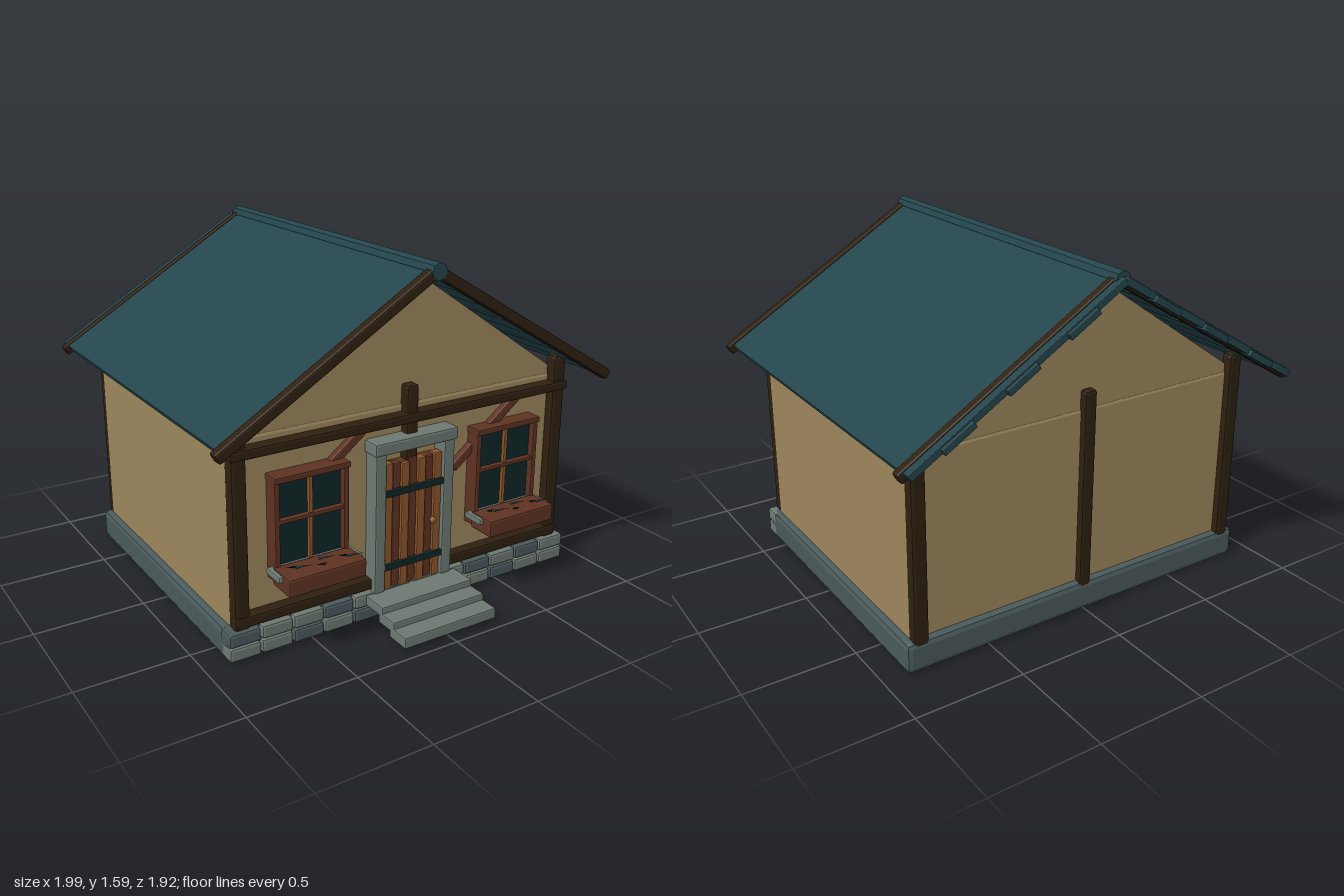
import * as THREE from 'three';
import { RoundedBoxGeometry } from 'three/addons/geometries/RoundedBoxGeometry.js';

const paint = (name, color) => {
  const m = new THREE.MeshStandardMaterial({ color });
  m.name = name;
  return m;
};

export function createModel() {
  const plaster = paint('plaster', 0x9c855c);
  const tile = paint('roofTeal', 0x24454c);
  const timber = paint('darkTimber', 0x2e2010);
  const redWood = paint('redWood', 0x5e3222);
  const oak = paint('oak', 0x8a5428);
  const stone = paint('paleStone', 0x6d7871);
  const slate = paint('darkStone', 0x4a595b);
  const iron = paint('ironAndGlass', 0x0e2626);
  const leaf = paint('leaf', 0x33505a);

  const house = new THREE.Group();
  house.name = 'cottage';

  const add = (name, geo, mat, x, y, z, parent = house) => {
    const mesh = new THREE.Mesh(geo, mat);
    mesh.name = name;
    mesh.position.set(x, y, z);
    parent.add(mesh);
    return mesh;
  };
  // Box given by its limits, with flat chamfered edges
  const block = (name, mat, [x0, x1], [y0, y1], [z0, z1], bevel = 0.01, parent = house) => {
    const geo = new RoundedBoxGeometry(x1 - x0, y1 - y0, z1 - z0, 1, bevel);
    geo.computeVertexNormals();
    return add(name, geo, mat, (x0 + x1) / 2, (y0 + y1) / 2, (z0 + z1) / 2, parent);
  };

  // Foundation with two courses of facing stones
  block('foundation', slate, [-0.895, 0.895], [0, 0.14], [-0.76, 0.64], 0.025);
  const pitch = 1.8 / 12;
  for (let row = 0; row < 2; row++) {
    for (let i = 0; i < 12; i++) {
      const x = -0.9 + i * pitch;
      const y = 0.012 + row * 0.065;
      const mat = (i * 2 + row * 3) % 5 < 3 ? stone : slate;
      block('facingStone', mat, [x + 0.003, x + pitch - 0.003], [y, y + 0.061], [0.58, 0.668], 0.012);
    }
  }

  // Front steps
  block('lowerStep', stone, [-0.24, 0.24], [0.02, 0.07], [0.845, 0.96], 0.006);
  block('middleStep', stone, [-0.24, 0.24], [0.05, 0.1], [0.76, 0.875], 0.006);
  block('upperStep', stone, [-0.24, 0.24], [0.085, 0.13], [0.645, 0.79], 0.006);

  // Walls and gables
  block('walls', plaster, [-0.86, 0.86], [0.12, 0.955], [-0.725, 0.605], 0.015);
  const gable = new THREE.Shape([
    new THREE.Vector2(-0.85, 0.95), new THREE.Vector2(0.85, 0.95), new THREE.Vector2(0, 1.53),
  ]);
  const gableGeo = new THREE.ExtrudeGeometry(gable, { depth: 0.05, bevelEnabled: false });
  add('frontGable', gableGeo, plaster, 0, 0, 0.55);
  add('backGable', gableGeo, plaster, 0, 0, -0.72);

  // Timber frame
  for (const side of [-1, 1]) {
    const xs = side < 0 ? [-0.86, -0.79] : [0.79, 0.86];
    block('frontPost', timber, xs, [0.13, 1.04], [0.585, 0.648], 0.014);
    block('backPost', timber, xs, [0.08, 1.04], [-0.757, -0.7], 0.014);
  }
  block('frontCentrePost', timber, [-0.03, 0.03], [0.14, 1.04], [0.58, 0.648], 0.012);
  block('backCentrePost', timber, [-0.03, 0.03], [0.08, 1.04], [-0.757, -0.7], 0.012);
  block('lowerBeam', timber, [-0.86, 0.86], [0.145, 0.195], [0.59, 0.655], 0.01);
  block('upperBeam', timber, [-0.865, 0.865], [0.875, 0.92], [0.59, 0.66], 0.01);
  for (const x of [-0.415, 0.415]) {
    const brace = block('brace', redWood, [-0.225, 0.225], [-0.02, 0.02], [-0.02, 0.02], 0.007);
    brace.position.set(x, 0.745, 0.617);
    brace.rotation.z = 0.66;
  }

  // Roof slopes, tile strips and barge boards
  const pitchAngle = Math.atan(0.597);
  for (const side of [-1, 1]) {
    const slope = new THREE.Group();
    slope.name = side < 0 ? 'rightRoofSlope' : 'leftRoofSlope';
    slope.position.set(0, 1.55, 0);
    slope.rotation.z = -side * pitchAngle;
    house.add(slope);
    const span = (a, b) => (side > 0 ? [a, b] : [-b, -a]);
    block('roofPanel', tile, span(0, 1.122), [-0.016, 0.016], [-0.945, 0.745], 0.003, slope);
    for (const x of [0.245, 0.565, 0.89]) {
      block('tileStrip', tile, span(x - 0.08, x + 0.08), [-0.022, 0.008], [-0.96, 0.755], 0.004, slope);
    }
    block('frontBarge', timber, span(0, 1.148), [-0.026, 0.022], [0.747, 0.798], 0.01, slope);
    block('backBarge', timber, span(0, 1.148), [-0.026, 0.022], [-0.912, -0.866], 0.01, slope);
  }
  const ridgeGeo = new THREE.CylinderGeometry(0.037, 0.037, 1.72, 8).toNonIndexed();
  ridgeGeo.computeVertexNormals();
  ridgeGeo.rotateX(Math.PI / 2);
  add('ridgeCap', ridgeGeo, tile, 0, 1.548, -0.06);

  // Door with planks, straps, knob and stone surround
  const door = new THREE.Group();
  door.name = 'door';
  house.add(door);
  block('doorBacking', redWood, [-0.15, 0.15], [0.13, 0.71], [0.6, 0.65], 0.004, door);
  const planks = 7;
  for (let i = 0; i < planks; i++) {
    const w = 0.3 / planks;
    const x = -0.15 + i * w;
    block('plank', i % 2 ? redWood : oak, [x + 0.002, x + w - 0.002],
      [0.13, 0.72 - (i % 3) * 0.006], [0.62, i % 2 ? 0.66 : 0.666], 0.005, door);
  }
  for (const y of [0.24, 0.585]) {
    block('doorStrap', iron, [-0.155, 0.155], [y - 0.015, y + 0.015], [0.65, 0.677], 0.004, door);
  }
  add('doorKnob', new THREE.SphereGeometry(0.016, 10, 8), oak, 0.1, 0.41, 0.675, door);
  for (const x of [-0.178, 0.178]) {
    block('doorJamb', stone, [x - 0.027, x + 0.027], [0.13, 0.78], [0.59, 0.68], 0.008, door);
  }
  block('doorLintel', stone, [-0.215, 0.215], [0.77, 0.828], [0.59, 0.69], 0.01, door);

  // Windows with planter boxes
  for (const x of [-0.51, 0.51]) {
    const win = new THREE.Group();
    win.name = 'window';
    win.position.x = x;
    house.add(win);
    block('glass', iron, [-0.165, 0.165], [0.34, 0.77], [0.6, 0.645], 0.004, win);
    for (const s of [-0.163, 0.163]) {
      block('sideFrame', redWood, [s - 0.012, s + 0.012], [0.32, 0.775], [0.6, 0.675], 0.005, win);
    }
    block('topFrame', redWood, [-0.178, 0.178], [0.755, 0.782], [0.6, 0.683], 0.005, win);
    block('crossBar', redWood, [-0.165, 0.165], [0.573, 0.59], [0.62, 0.67], 0.004, win);
    block('mullion', oak, [-0.009, 0.009], [0.36, 0.765], [0.62, 0.662], 0.004, win);
    block('planter', redWood, [-0.183, 0.183], [0.312, 0.392], [0.66, 0.8], 0.01, win);
    block('planterRail', stone, [-0.2, 0.2], [0.355, 0.385], [0.635, 0.745], 0.008, win);
    // Sprigs of flat leaves
    for (let i = 0; i < 6; i++) {
      const geo = new THREE.ConeGeometry(0.014, 0.075, 4);
      geo.scale(1, 1, 0.35);
      const sprig = add('sprig', geo, i % 2 ? leaf : iron, -0.14 + i * 0.058, 0.41, 0.73 + (i % 3) * 0.02, win);
      sprig.rotation.set(i % 2 ? 1.2 : 0.9, 0, i % 2 ? -0.9 : 0.9);
    }
  }
  return house;
}
